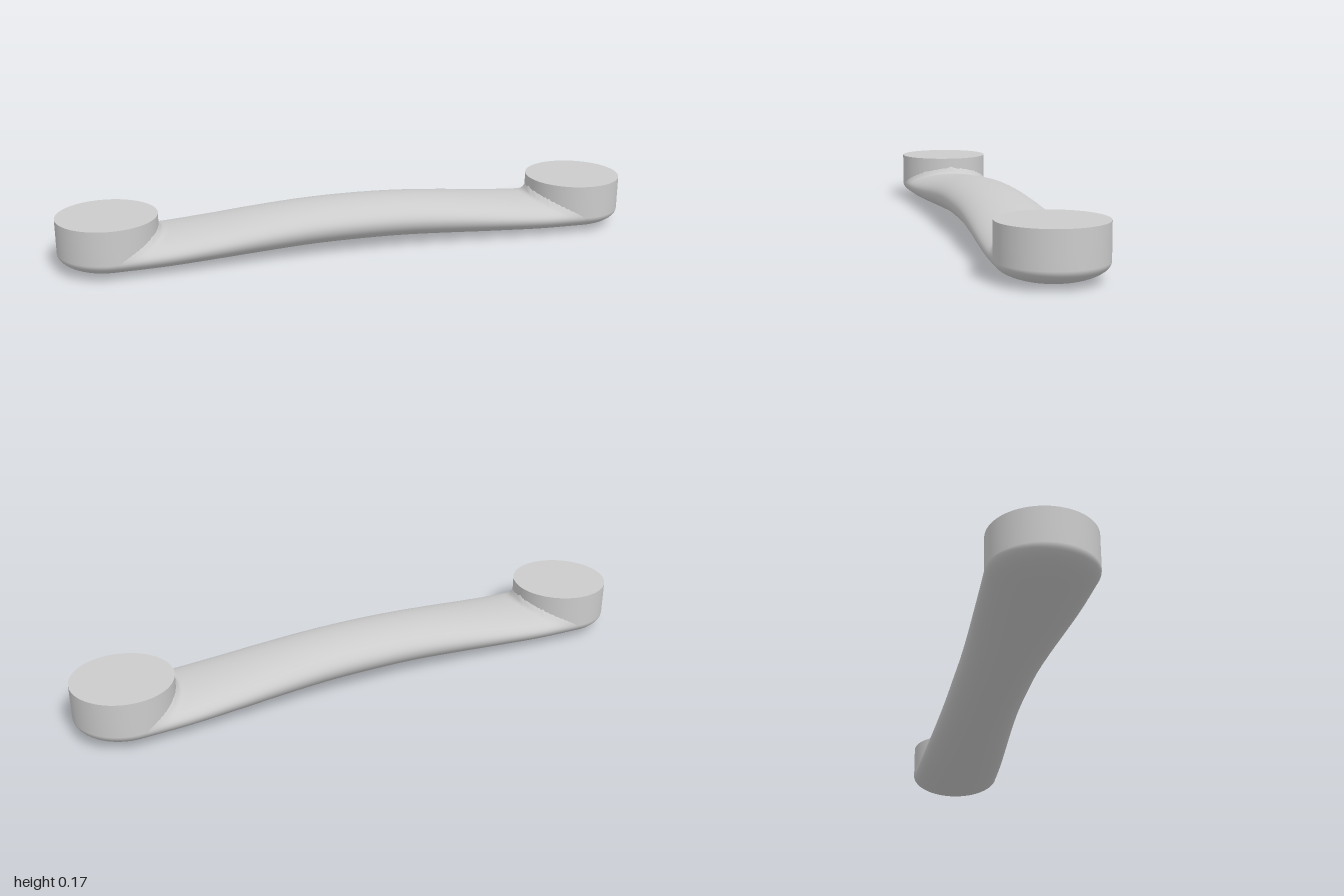
import * as THREE from 'three';

const R = 0.1667;       // radius of the round mounting ends
const END_X = 0.8333;   // where their axes stand
const TOP_Y = 0.175;    // flat mounting face
const DOME = 0.06;      // height of the rounded underside
const FILLET = 0.028;   // blend between grip and mounting ends

// Grip stations from the middle outwards, evenly spaced: top, bottom, half width
const HALF = [
  [0.165, 0.022, 0.134], [0.161, 0.020, 0.135], [0.148, 0.013, 0.141],
  [0.130, 0.006, 0.150], [0.115, 0.001, 0.159], [0.113, 0.000, 0.166],
];

// Lofts the arched grip from elliptical sections
function gripGeometry(steps = 240, sides = 56) {
  const stations = [...HALF.slice(1).reverse(), ...HALF].map((s) => new THREE.Vector3(...s));
  const curve = new THREE.CatmullRomCurve3(stations, false, 'catmullrom', 0.5);
  const positions = [];
  const index = [];
  for (let i = 0; i <= steps; i++) {
    const t = i / steps;
    const x = (2 * t - 1) * END_X;
    const { x: top, y: bottom, z: width } = curve.getPoint(t);
    const mid = bottom + (top - bottom) * 0.52;
    for (let j = 0; j < sides; j++) {
      const a = (j / sides) * Math.PI * 2;
      const s = Math.sin(a);
      const z = width * Math.cos(a);
      let y = mid + s * (s > 0 ? top - mid : mid - bottom);
      // The upper side sweeps up into the mounting ends
      if (s > 0) {
        const gap = Math.hypot(END_X - Math.abs(x), z) - R;
        const k = THREE.MathUtils.clamp(FILLET - gap, 0, FILLET);
        y += s * (FILLET - Math.sqrt(FILLET * FILLET - k * k));
      }
      positions.push(x, y, z);
      if (i < steps) {
        const n = (j + 1) % sides;
        const p = i * sides;
        const q = p + sides;
        index.push(p + j, q + j, q + n, p + j, q + n, p + n);
      }
    }
  }
  const geometry = new THREE.BufferGeometry();
  geometry.setAttribute('position', new THREE.Float32BufferAttribute(positions, 3));
  geometry.setIndex(index);
  geometry.computeVertexNormals();
  return geometry;
}

// Round-bottomed drum profile
function mountGeometry() {
  const profile = [];
  for (let i = 0; i <= 20; i++) {
    const a = (i / 20) * Math.PI / 2;
    profile.push(new THREE.Vector2(R * Math.sin(a), DOME * (1 - Math.cos(a))));
  }
  profile.push(new THREE.Vector2(R, 0.11), new THREE.Vector2(R, TOP_Y));
  return new THREE.LatheGeometry(profile, 72);
}

export function createModel() {
  const group = new THREE.Group();
  group.name = 'pullHandle';
  const material = new THREE.MeshStandardMaterial({ color: 0xcccccc });
  const add = (name, geometry, x = 0, y = 0) => {
    const mesh = new THREE.Mesh(geometry, material);
    mesh.name = name;
    mesh.position.set(x, y, 0);
    group.add(mesh);
  };

  add('grip', gripGeometry());

  // Mounting ends with their flat faces
  const mount = mountGeometry();
  const face = new THREE.CircleGeometry(R, 72).rotateX(-Math.PI / 2);
  for (const [side, sign] of [['left', 1], ['right', -1]]) {
    add(`${side}Mount`, mount, sign * END_X);
    add(`${side}MountFace`, face, sign * END_X, TOP_Y);
  }
  return group;
}
